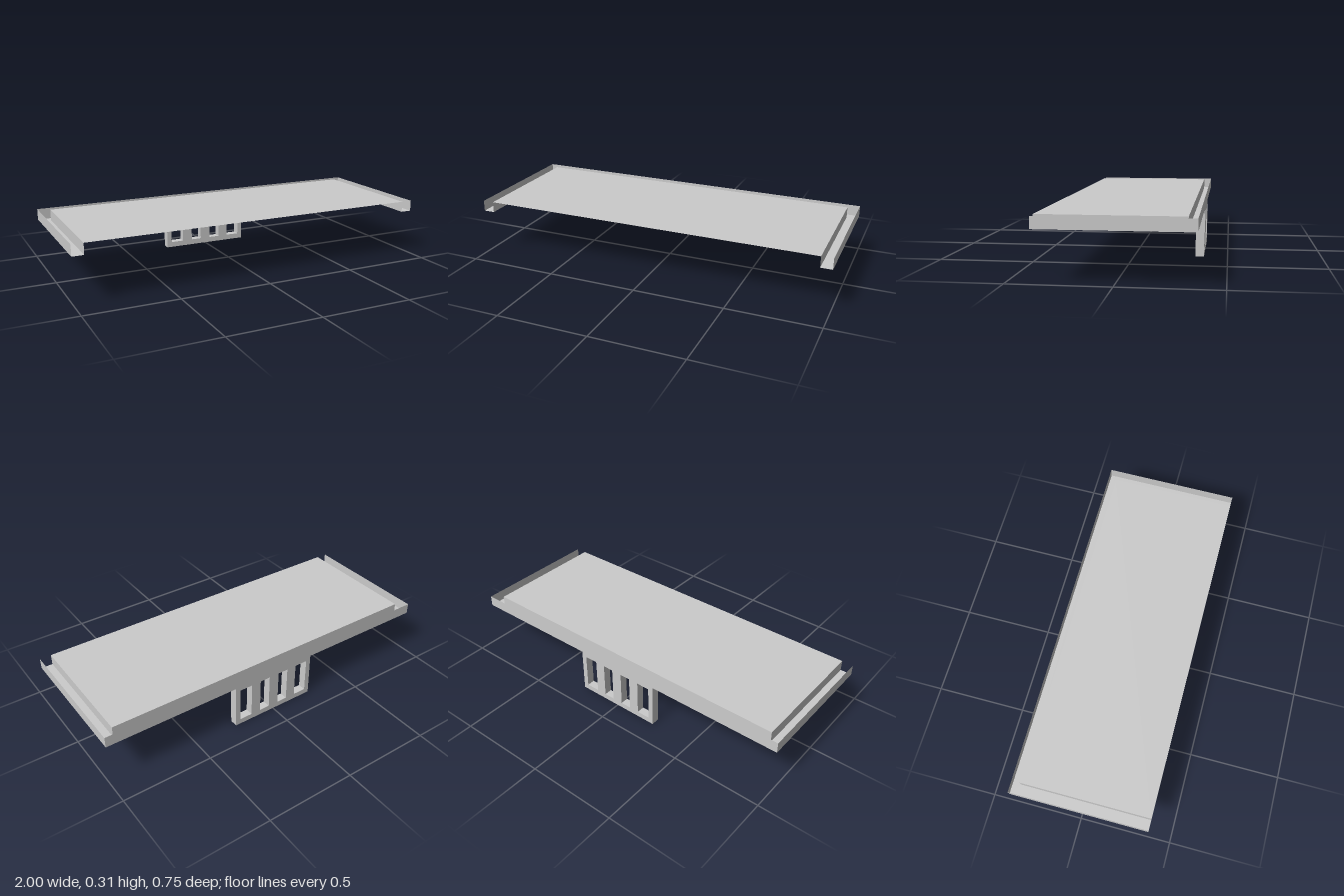
import * as THREE from 'three';

const TOP = 0.312, LOW = 0.252;      // upper and lower level of the folded tray
const X = 1, Z = 0.374;              // half width, half depth
const GAP_X = 0.062, GAP_Z = 0.045;  // channel width at the sides and the back

const sheet = new THREE.MeshStandardMaterial({ color: 0xcccccc, flatShading: true, side: THREE.DoubleSide });

function add(group, name, geometry) {
  const mesh = new THREE.Mesh(geometry, sheet);
  mesh.name = name;
  group.add(mesh);
  return mesh;
}

// Sweeps a U profile (inset fraction, height) around left, back and right
function channelGeometry() {
  const profile = [[0, TOP], [0, LOW], [1, LOW], [1, TOP]];
  const stations = [[-1, 1], [-1, -1], [1, -1], [1, 1]];
  const positions = [], index = [];
  for (const [sx, sz] of stations) {
    for (const [t, y] of profile) {
      positions.push(sx * (X - t * GAP_X), y, sz > 0 ? Z : -Z + t * GAP_Z);
    }
  }
  for (let i = 0; i < 3; i++) {
    for (let j = 0; j < 3; j++) {
      const a = i * 4 + j, b = a + 4;
      index.push(a, a + 1, b, b, a + 1, b + 1);
    }
  }
  const g = new THREE.BufferGeometry();
  g.setAttribute('position', new THREE.Float32BufferAttribute(positions, 3));
  g.setIndex(index);
  const flat = g.toNonIndexed();
  flat.computeVertexNormals();
  return flat;
}

function rectangle(Type, x0, x1, y0, y1) {
  return new Type([[x0, y0], [x1, y0], [x1, y1], [x0, y1]].map(([x, y]) => new THREE.Vector2(x, y)));
}

// Hanging panel with four upright slots
function grilleGeometry() {
  const panel = rectangle(THREE.Shape, -0.25, 0.25, 0, LOW);
  for (const s of [-1, 1]) {
    for (const [a, b] of [[0.03, 0.09], [0.147, 0.222]]) {
      panel.holes.push(rectangle(THREE.Path, Math.min(s * a, s * b), Math.max(s * a, s * b), 0.03, 0.228));
    }
  }
  return new THREE.ExtrudeGeometry(panel, { depth: GAP_Z, bevelEnabled: false });
}

export function createModel() {
  const model = new THREE.Group();
  model.name = 'trayWithGrille';

  // Flat top, open below and at the front
  const plate = new THREE.PlaneGeometry(2 * (X - GAP_X), 2 * Z - GAP_Z).rotateX(-Math.PI / 2);
  add(model, 'topPlate', plate).position.set(0, TOP, GAP_Z / 2);

  // Gutter on three sides
  add(model, 'edgeChannel', channelGeometry());

  // Slotted panel below the back edge
  add(model, 'backGrille', grilleGeometry()).position.z = -Z;

  return model;
}
